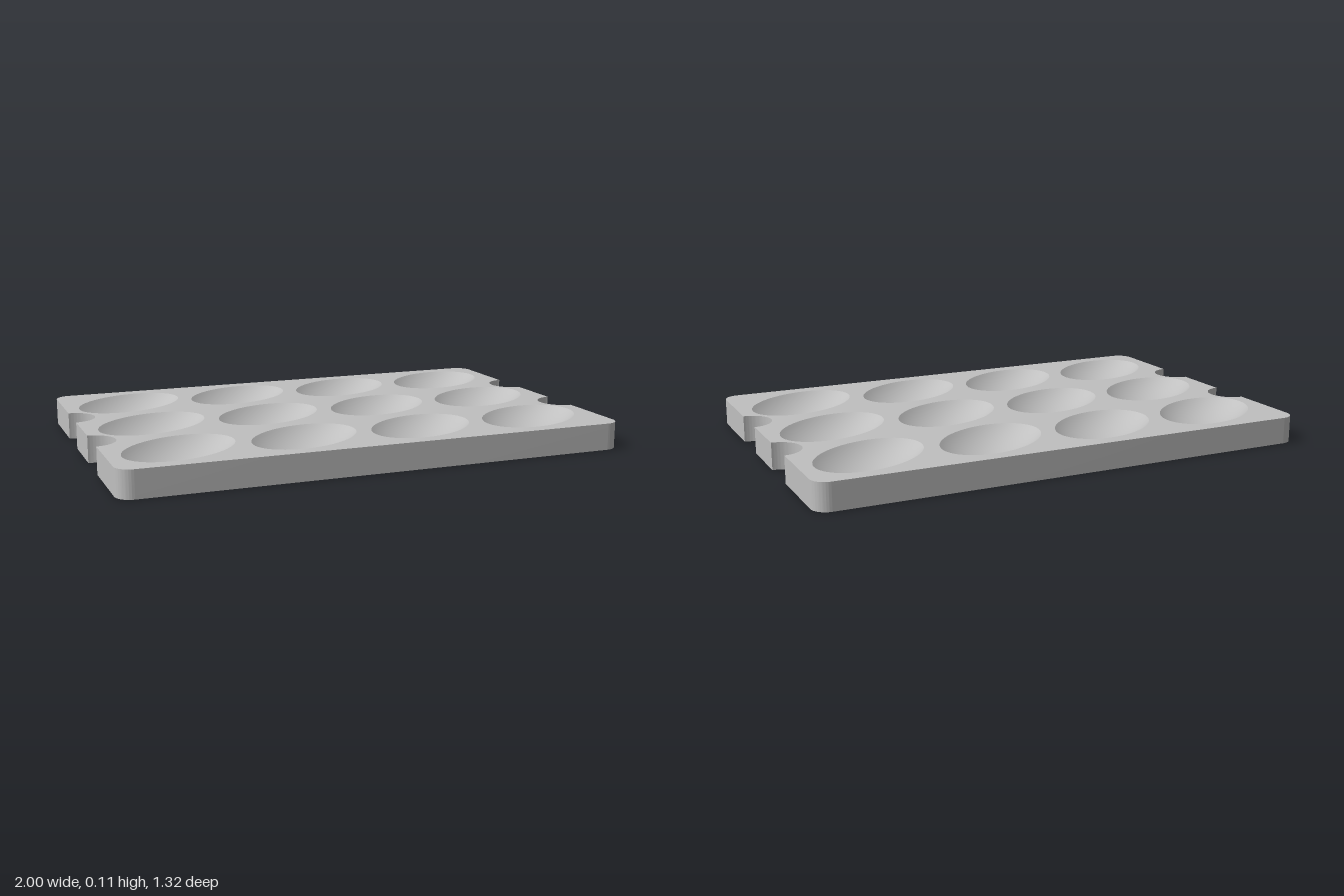
import * as THREE from 'three';
import { toCreasedNormals } from 'three/addons/utils/BufferGeometryUtils.js';

const W = 1, D = 0.66, H = 0.106, CORNER = 0.06; // half width, half depth, height, corner radius
const NOTCH_R = 0.09, NOTCH_Z = 0.21;
const DIMPLE = { a: 0.239, b: 0.162, depth: 0.07, tilt: Math.PI / 6 };
const PEG = { r: 0.027, depth: 0.06, x: 0.482, z: 0.612 };
const SEG = 24;

// Rounded rectangle with two round notches in each short side
function outline() {
  const q = Math.PI / 2, s = new THREE.Shape();
  const cx = W - CORNER, cy = D - CORNER;
  s.moveTo(-cx, -D);
  s.absarc(cx, -cy, CORNER, -q, 0, false);
  for (const y of [-NOTCH_Z, NOTCH_Z]) s.absarc(W, y, NOTCH_R, -q, q, true);
  s.absarc(cx, cy, CORNER, 0, q, false);
  s.absarc(-cx, cy, CORNER, q, 2 * q, false);
  for (const y of [NOTCH_Z, -NOTCH_Z]) s.absarc(-W, y, NOTCH_R, q, -q, true);
  s.absarc(-cx, -cy, CORNER, 2 * q, 3 * q, false);
  return s;
}

function ellipseHole(x, z, a, b, tilt) {
  const p = new THREE.Path();
  p.absellipse(x, -z, a, b, 0, Math.PI * 2, false, tilt);
  return p;
}

// Upright band following the outline
function wallGeometry(shape) {
  const pts = shape.getPoints(SEG), pos = [];
  pts.forEach((p, i) => {
    const n = pts[(i + 1) % pts.length];
    if (p.distanceTo(n) < 1e-6) return;
    pos.push(p.x, 0, -p.y, n.x, 0, -n.y, n.x, H, -n.y);
    pos.push(p.x, 0, -p.y, n.x, H, -n.y, p.x, H, -p.y);
  });
  const g = new THREE.BufferGeometry();
  g.setAttribute('position', new THREE.Float32BufferAttribute(pos, 3));
  return toCreasedNormals(g, 0.6);
}

// Shallow ellipsoid bowl, rim at y = 0
function bowlGeometry() {
  const T = 0.8, profile = [];
  for (let i = 16; i >= 0; i--) {
    const t = T * i / 16;
    profile.push(new THREE.Vector2(Math.sin(t) / Math.sin(T), (Math.cos(T) - Math.cos(t)) / (1 - Math.cos(T))));
  }
  return new THREE.LatheGeometry(profile, SEG * 2)
    .scale(DIMPLE.a, DIMPLE.depth, DIMPLE.b)
    .rotateY(DIMPLE.tilt);
}

export function createModel() {
  const model = new THREE.Group();
  model.name = 'dimpledTray';
  const grey = new THREE.MeshStandardMaterial({ color: 0xc0c0c0 });
  grey.name = 'grey';
  const add = (name, geometry, x = 0, y = 0, z = 0) => {
    const m = new THREE.Mesh(geometry, grey);
    m.name = name;
    m.position.set(x, y, z);
    model.add(m);
  };

  const top = outline(), bottom = outline();

  // Twelve tilted oval dimples
  const bowl = bowlGeometry();
  for (let row = -1; row <= 1; row++) {
    for (let col = -1.5; col <= 1.5; col++) {
      const x = col * 0.482, z = row * 0.42;
      top.holes.push(ellipseHole(x, z, DIMPLE.a, DIMPLE.b, DIMPLE.tilt));
      add('dimple', bowl, x, H, z);
    }
  }

  // Four blind peg holes underneath
  const peg = toCreasedNormals(new THREE.LatheGeometry([
    new THREE.Vector2(0, PEG.depth),
    new THREE.Vector2(PEG.r, PEG.depth),
    new THREE.Vector2(PEG.r, 0),
  ], SEG * 2), 0.6);
  for (const x of [-PEG.x, PEG.x]) {
    for (const z of [-PEG.z, PEG.z]) {
      bottom.holes.push(ellipseHole(x, z, PEG.r, PEG.r, 0));
      add('pegHole', peg, x, 0, z);
    }
  }

  // Top face, underside and side walls
  add('topFace', new THREE.ShapeGeometry(top, SEG).rotateX(-Math.PI / 2), 0, H, 0);
  // The underside is mirrored front to back, which is symmetric
  add('underside', new THREE.ShapeGeometry(bottom, SEG).rotateX(Math.PI / 2));
  add('sideWall', wallGeometry(outline()));
  return model;
}
